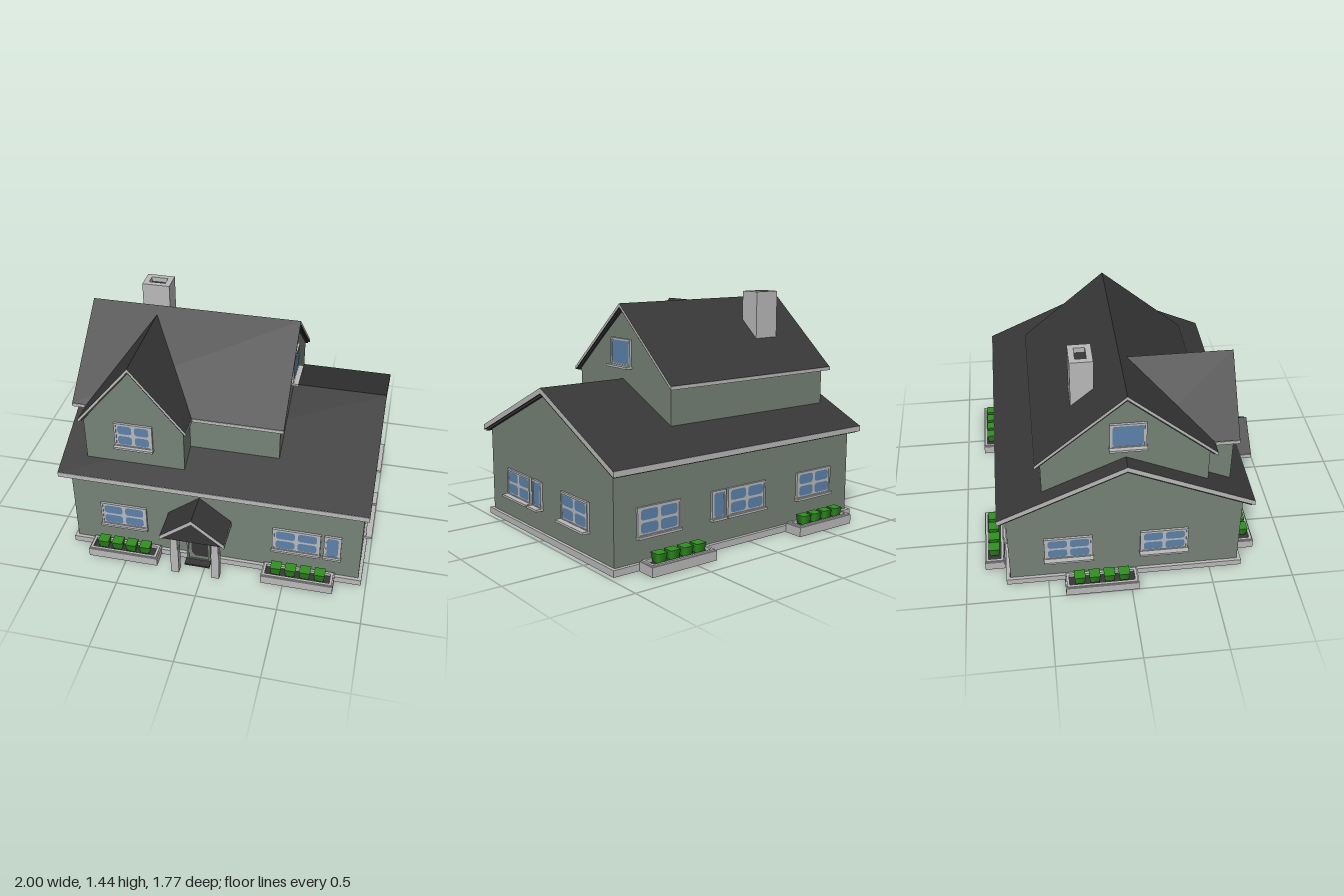
import * as THREE from 'three';

const mat = (name, color, side = THREE.FrontSide) => {
  const m = new THREE.MeshStandardMaterial({ color, side });
  m.name = name;
  return m;
};

export function createModel() {
  const house = new THREE.Group();
  house.name = 'house';
  const wall = mat('sage wall', 0x758276, THREE.DoubleSide);
  const trim = mat('light grey trim', 0xbababa);
  const roofing = mat('charcoal roof', 0x373737);
  const glass = mat('blue glass', 0x5b82aa);
  const leaf = mat('hedge green', 0x2f921f);

  const mesh = (name, geo, material, parent = house) => {
    const m = new THREE.Mesh(geo, material);
    m.name = name;
    parent.add(m);
    return m;
  };
  // box given by its minimum and maximum corners
  const box = (name, a, b, material, parent = house) => {
    const m = mesh(name, new THREE.BoxGeometry(b[0] - a[0], b[1] - a[1], b[2] - a[2]), material, parent);
    m.position.set((a[0] + b[0]) / 2, (a[1] + b[1]) / 2, (a[2] + b[2]) / 2);
    return m;
  };
  const poly = (pts) => new THREE.Shape(pts.map((p) => new THREE.Vector2(p[0], p[1])));
  const extrude = (shape, depth, z = 0) =>
    new THREE.ExtrudeGeometry(shape, { depth, bevelEnabled: false }).translate(0, 0, z);
  const rectPath = (w, h, Type = THREE.Path) =>
    new Type([[-w, -h], [w, -h], [w, h], [-w, h]].map((p) => new THREE.Vector2(p[0] / 2, p[1] / 2)));
  const ring = (w, h, border, depth, z) => {
    const s = rectPath(w, h, THREE.Shape);
    s.holes.push(rectPath(w - 2 * border, h - 2 * border));
    return extrude(s, depth, z);
  };
  // group whose local x runs along -z and local z along +x
  const sideways = (name) => {
    const g = new THREE.Group();
    g.name = name;
    g.rotation.y = Math.PI / 2;
    house.add(g);
    return g;
  };

  // gable roof running along local z, with grey barge and eave boards
  const gableRoof = (name, parent, { mid, half, top, eave, thick, from, to }) => {
    const g = new THREE.Group();
    g.name = name;
    g.position.x = mid;
    parent.add(g);
    const chevron = (drop, t, w) => {
      const e = top - (top - eave) * w / half;
      return poly([[-w, e - drop], [-w, e - drop - t], [0, top - drop - t], [w, e - drop - t], [w, e - drop], [0, top - drop]]);
    };
    mesh('roofSlab', extrude(chevron(0, thick, half), to - from, from), [trim, roofing], g);
    mesh('roofUnderlay', extrude(chevron(thick, 0.015, half - 0.015), to - from - 0.02, from + 0.01), roofing, g);
    for (const s of [-1, 1])
      box('eaveBoard', [s * half - 0.003, eave - thick, from], [s * half + 0.003, eave - 0.001, to], trim, g);
  };

  // open-bottomed wall shell with gables facing local z
  const shell = (name, parent, { u0, u1, mid, base, y0, y1, peak, from, to, back = true }) => {
    const g = new THREE.Group();
    g.name = name;
    parent.add(g);
    const gable = poly([[u0, base], [u1, base], [u1, y1], [mid, peak], [u0, y0]]);
    for (const z of back ? [from, to] : [to]) {
      const geo = new THREE.ShapeGeometry(gable);
      if (z === from) geo.rotateY(Math.PI).scale(1, 1, 1).translate(2 * mid, 0, 0);
      const end = mesh('gableWall', z === from ? mirrorEnd(gable) : geo, wall, g);
      end.position.z = z;
    }
    for (const [u, y, s] of [[u0, y0, -1], [u1, y1, 1]]) {
      const side = mesh('sideWall', new THREE.PlaneGeometry(to - from, y - base), wall, g);
      side.rotation.y = s * Math.PI / 2;
      side.position.set(u, (base + y) / 2, (from + to) / 2);
    }
  };
  const mirrorEnd = (shape) => {
    const pts = shape.getPoints().map((p) => [-p.x, p.y]).reverse();
    return new THREE.ShapeGeometry(poly(pts)).rotateY(Math.PI);
  };

  // main storey and upper storey
  const main = sideways('mainStorey');
  shell('mainWalls', main, { u0: -0.675, u1: 0.73, mid: 0.025, base: 0.01, y0: 0.57, y1: 0.565, peak: 0.885, from: -0.855, to: 0.95 });
  gableRoof('mainRoof', main, { mid: 0.025, half: 0.752, top: 0.93, eave: 0.59, thick: 0.034, from: -0.92, to: 0.98 });
  const upper = sideways('upperStorey');
  shell('upperWalls', upper, { u0: -0.457, u1: 0.51, mid: 0.025, base: 0.62, y0: 0.95, y1: 0.945, peak: 1.345, from: -0.83, to: 0.4 });
  gableRoof('upperRoof', upper, { mid: 0.025, half: 0.516, top: 1.39, eave: 0.95, thick: 0.022, from: -0.875, to: 0.425 });

  // front dormer
  shell('dormerWalls', house, { u0: -0.765, u1: -0.15, mid: -0.457, base: 0.6, y0: 0.925, y1: 0.925, peak: 1.315, from: 0.457, to: 0.605, back: false });
  gableRoof('dormerRoof', house, { mid: -0.457, half: 0.328, top: 1.35, eave: 0.95, thick: 0.024, from: 0.02, to: 0.638 });

  // plinth around the walls
  const plinth = mesh('plinth', ring(1.845, 1.455, 0.022, 0.04, 0), trim);
  plinth.rotation.x = -Math.PI / 2;
  plinth.position.set(0.0475, 0, -0.028);

  // chimney with a square flue
  const chimney = mesh('chimney', ring(0.175, 0.134, 0.035, 0.34, 0), trim);
  chimney.rotation.x = -Math.PI / 2;
  chimney.position.set(-0.52, 1.1, -0.247);
  box('flue', [-0.57, 1.39, -0.29], [-0.47, 1.41, -0.205], roofing);

  // porch
  gableRoof('porchRoof', house, { mid: -0.045, half: 0.197, top: 0.5, eave: 0.345, thick: 0.03, from: 0.665, to: 0.885 });
  mesh('porchGable', extrude(poly([[-0.215, 0.318], [0.125, 0.318], [-0.045, 0.47]]), 0.21, 0.665), roofing);
  for (const x of [-0.172, 0.084]) {
    box('porchPost', [x - 0.025, 0, 0.785], [x + 0.025, 0.2, 0.832], trim);
    box('porchPostTop', [x - 0.022, 0.2, 0.782], [x + 0.022, 0.335, 0.837], trim);
  }

  // door with frame, dark pane and step
  const frame = mesh('doorFrame', ring(0.15, 0.235, 0.012, 0.05, 0), wall);
  frame.position.set(-0.05, 0.122, 0.66);
  box('door', [-0.118, 0.015, 0.67], [0.018, 0.235, 0.702], wall);
  mesh('doorPane', extrude(poly([[-0.07, 0.04], [0.013, 0.04], [0.013, 0.205], [-0.07, 0.205], [-0.095, 0.18], [-0.095, 0.065]]), 0.004, 0.701), roofing);
  box('doorStep', [-0.13, 0, 0.675], [0.03, 0.012, 0.76], roofing);

  // windows: frame ring, backing plate, cut-corner panes and sill, facing local +z
  const paneShape = (w, h, c) => poly([[-w + c, -h], [w - c, -h], [w - c * 0.3, -h + c * 0.3], [w, -h + c], [w, h - c], [w - c * 0.3, h - c * 0.3],
    [w - c, h], [-w + c, h], [-w + c * 0.3, h - c * 0.3], [-w, h - c], [-w, -h + c], [-w + c * 0.3, -h + c * 0.3]]);
  const addWindow = (pos, turn, w, h, n, sill) => {
    const g = new THREE.Group();
    g.name = 'window';
    g.position.set(...pos);
    g.rotation.y = turn;
    house.add(g);
    mesh('windowFrame', ring(w, h, 0.012, 0.044, -0.03), trim, g);
    box('windowPlate', [-w / 2 + 0.01, -h / 2 + 0.01, 0.003], [w / 2 - 0.01, h / 2 - 0.01, 0.009], trim, g);
    const cw = (w - 0.026) / n, ch = (h - 0.022) / n, gap = n > 1 ? 0.009 : 0.004;
    const pane = new THREE.ShapeGeometry(paneShape(cw / 2 - gap, ch / 2 - gap * 0.8, 0.016));
    for (let i = 0; i < n; i++)
      for (let j = 0; j < n; j++)
        mesh('pane', pane, glass, g).position.set((i - (n - 1) / 2) * cw, (j - (n - 1) / 2) * ch + 0.003, 0.012);
    box('windowSill', [-w / 2 - 0.004, -h / 2 - 0.006, 0], [w / 2 + 0.004, -h / 2 + 0.008, sill], trim, g);
  };
  const Y = 0.265, H = 0.172, Q = Math.PI / 2;
  for (const [x, w, n] of [[-0.532, 0.295, 2], [0.557, 0.295, 2], [0.778, 0.104, 1]]) addWindow([x, Y, 0.675], 0, w, H, n, 0.028);
  for (const [x, w, n] of [[0.655, 0.295, 2], [0.228, 0.104, 1], [0.012, 0.295, 2], [-0.548, 0.295, 2]]) addWindow([x, Y, -0.73], Math.PI, w, H, n, 0.028);
  for (const [z, w, n] of [[0.311, 0.292, 2], [0.085, 0.106, 1], [-0.345, 0.292, 2]]) addWindow([0.95, Y, z], Q, w, H, n, 0.05);
  for (const z of [0.21, -0.37]) addWindow([-0.855, Y, z], -Q, 0.292, H, 2, 0.045);
  addWindow([-0.457, 0.852, 0.605], 0, 0.235, 0.172, 2, 0.035);
  addWindow([0.4, 1.09, -0.014], Q, 0.208, 0.172, 1, 0.045);
  addWindow([-0.83, 1.09, -0.014], -Q, 0.208, 0.172, 1, 0.04);

  // planters: open box, soil and four clipped shrubs that widen upward
  const shrub = new THREE.CylinderGeometry(0.0475, 0.037, 0.055, 4, 1).rotateY(Math.PI / 4);
  const addPlanter = (x, z, turn) => {
    const g = new THREE.Group();
    g.name = 'planter';
    g.position.set(x, 0, z);
    g.rotation.y = turn;
    house.add(g);
    mesh('planterBox', ring(0.445, 0.122, 0.02, 0.057, 0).rotateX(-Q), trim, g);
    mesh('planterRim', ring(0.43, 0.11, 0.016, 0.01, 0.056).rotateX(-Q), trim, g);
    mesh('soil', new THREE.PlaneGeometry(0.41, 0.09).rotateX(-Q), roofing, g).position.y = 0.045;
    for (let i = 0; i < 4; i++)
      mesh('shrub', shrub.toNonIndexed(), leaf, g).position.set((i - 1.5) * 0.09, 0.083, 0);
  };
  for (const x of [-0.518, 0.584]) {
    addPlanter(x, 0.746, 0);
    addPlanter(x, -0.823, Math.PI);
  }
  addPlanter(-0.939, -0.178, -Q);

  return house;
}
